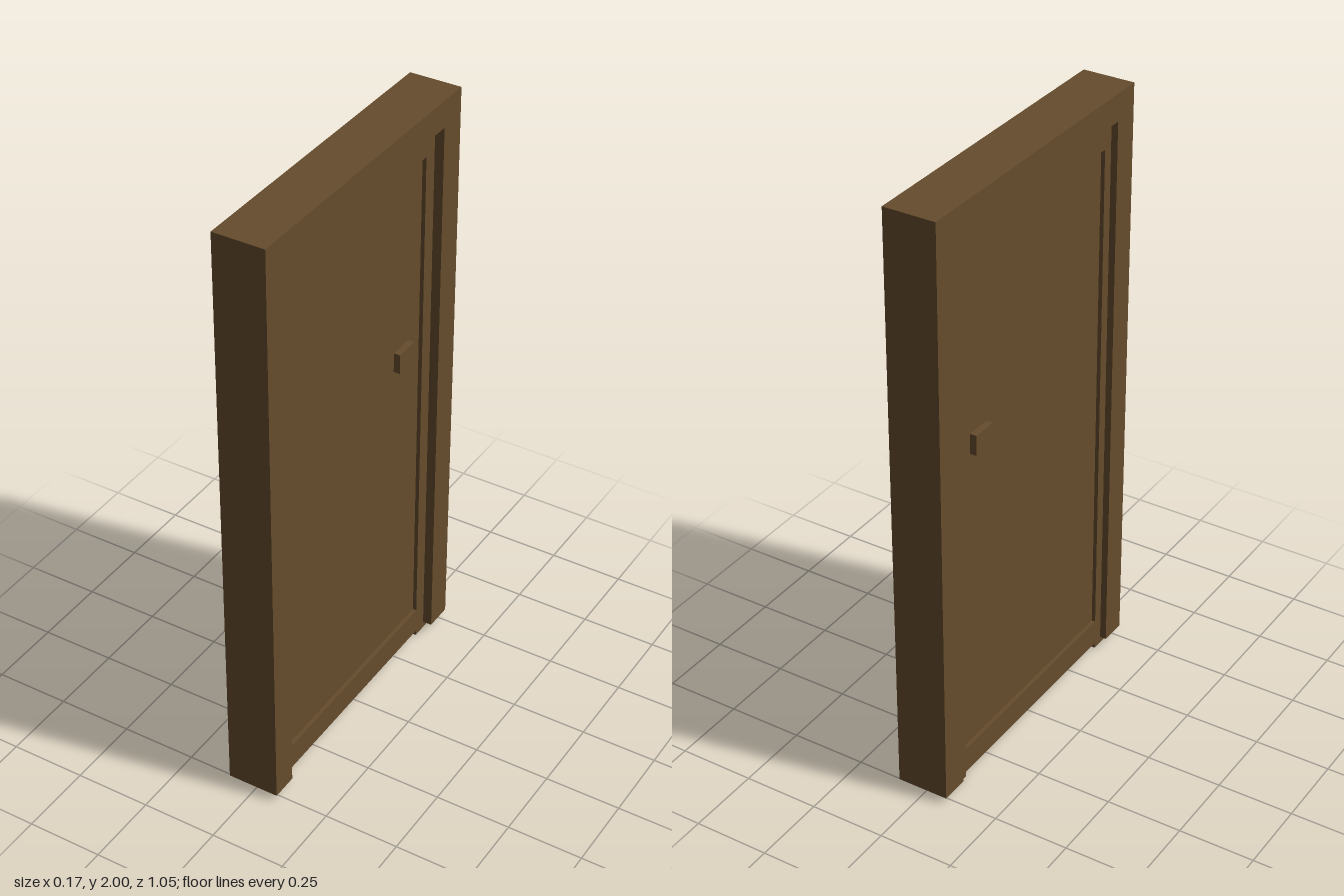
import * as THREE from 'three';

const wood = new THREE.MeshStandardMaterial({ color: 0x654c2c });
wood.name = 'brown wood';

// Extrudes an outline drawn in (-z, y) from x0 to x1
function slab(name, points, x0, x1, holePoints) {
  const toVec = ([z, y]) => new THREE.Vector2(-z, y);
  const shape = new THREE.Shape(points.map(toVec));
  if (holePoints) shape.holes.push(new THREE.Path(holePoints.map(toVec)));
  const geometry = new THREE.ExtrudeGeometry(shape, { depth: x1 - x0, bevelEnabled: false });
  geometry.translate(0, 0, x0).rotateY(Math.PI / 2);
  const mesh = new THREE.Mesh(geometry, wood);
  mesh.name = name;
  return mesh;
}

// Corners of an upright rectangle
const rect = (z0, z1, y0, y1) => [[z0, y0], [z1, y0], [z1, y1], [z0, y1]];

export function createModel() {
  const door = new THREE.Group();
  door.name = 'door';

  // Outer casing: two jambs and a head in one piece
  door.add(slab('casing', [
    [0.525, 0.023], [0.435, 0.023], [0.435, 1.91], [-0.43, 1.91],
    [-0.43, 0.023], [-0.525, 0.023], [-0.525, 2], [0.525, 2],
  ], -0.087, 0.086));

  // Inner frame: stiles reach the floor, bottom rail sits just above it
  door.add(slab('innerFrame', [
    [0.48, 0], [0.4, 0], [0.4, 0.018], [-0.382, 0.018],
    [-0.382, 0], [-0.462, 0], [-0.462, 1.93], [0.48, 1.93],
  ], -0.065, 0.055, rect(0.4, -0.382, 0.107, 1.827)));

  // Door leaf, slightly recessed on both sides
  door.add(slab('doorLeaf', rect(0.405, -0.387, 0.102, 1.832), -0.052, 0.042));

  // Square handles on both sides
  for (const [name, x0, x1] of [['rightHandle', 0.03, 0.064], ['leftHandle', -0.074, -0.04]]) {
    door.add(slab(name, rect(-0.232, -0.318, 1.15, 1.218), x0, x1));
  }

  return door;
}
